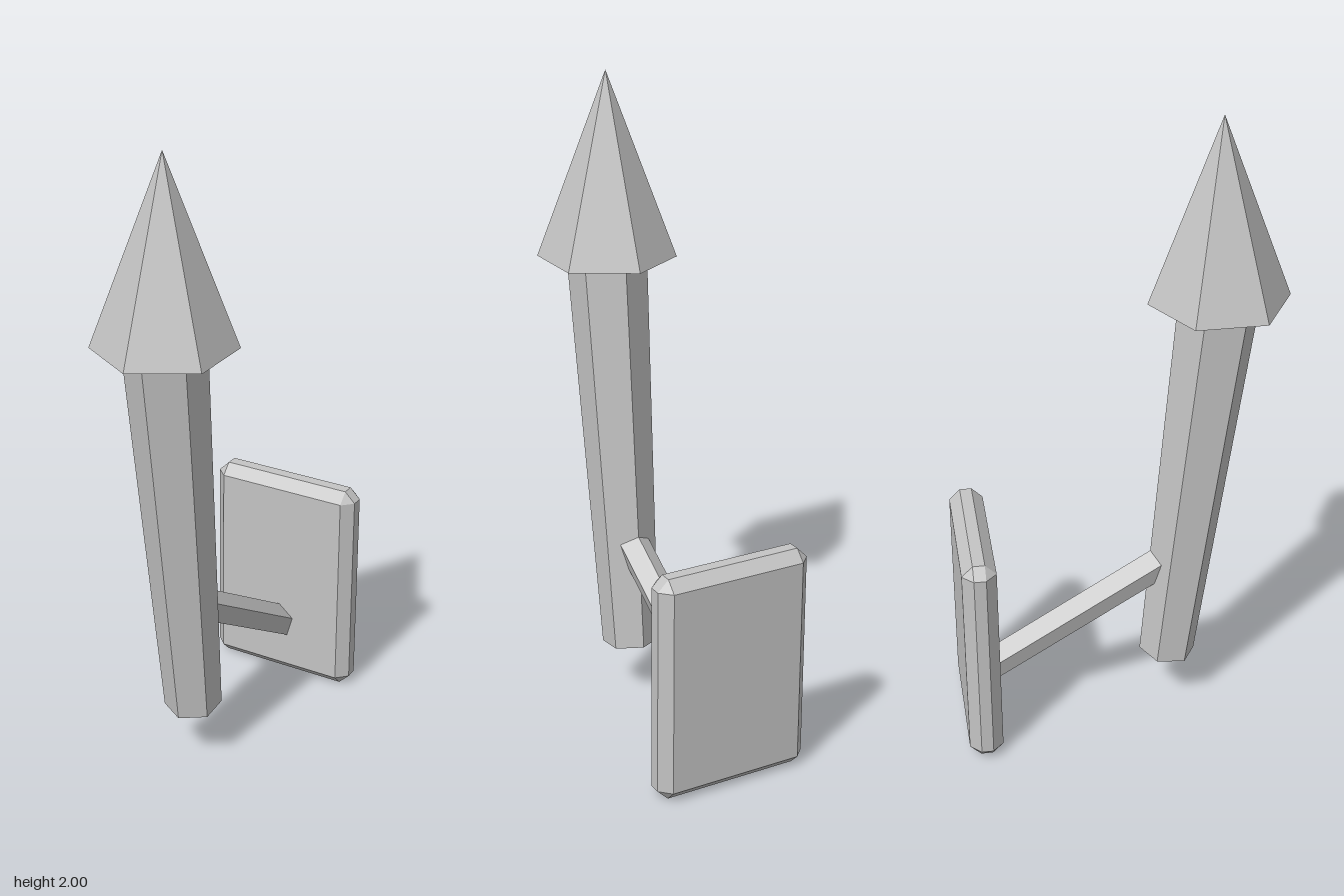
import * as THREE from 'three';
import { ConvexGeometry } from 'three/addons/geometries/ConvexGeometry.js';

const grey = new THREE.MeshStandardMaterial({ name: 'lightGrey', color: 0xc4c4c4, flatShading: true });

// Tapered prism in the x = 0 plane, from [y, z] to [y, z]
function prism(name, from, to, rFrom, rTo, sides, start = 0) {
  const dy = to[0] - from[0], dz = to[1] - from[1];
  const geometry = new THREE.CylinderGeometry(rTo, rFrom, Math.hypot(dy, dz), sides, 1, false, start);
  const mesh = new THREE.Mesh(geometry, grey);
  mesh.name = name;
  mesh.position.set(0, (from[0] + to[0]) / 2, (from[1] + to[1]) / 2);
  mesh.rotation.x = Math.atan2(dz, dy);
  return mesh;
}

// Box with every edge and corner cut off by the bevel b
function chamferedBox(w, h, d, b) {
  const points = [];
  for (const x of [-w / 2, w / 2])
    for (const y of [-h / 2, h / 2])
      for (const z of [-d / 2, d / 2]) {
        const ix = x - Math.sign(x) * b, iy = y - Math.sign(y) * b, iz = z - Math.sign(z) * b;
        points.push(
          new THREE.Vector3(x, iy, iz),
          new THREE.Vector3(ix, y, iz),
          new THREE.Vector3(ix, iy, z)
        );
      }
  return new ConvexGeometry(points);
}

export function createModel() {
  const model = new THREE.Group();
  model.name = 'wallTorch';

  // Pointed hexagonal head
  const head = new THREE.Mesh(new THREE.ConeGeometry(0.213, 0.57, 6), grey);
  head.name = 'head';
  head.position.set(0, 1.43 + 0.57 / 2, 0.294);
  model.add(head);

  // Leaning handle, wider at the top
  model.add(prism('handle', [0.182, 0.153], [1.43, 0.295], 0.089, 0.123, 6));

  // Five-sided arm rising from the wall plate, with a ridge on top
  model.add(prism('arm', [0.167, -0.45], [0.543, 0.16], 0.0526, 0.0526, 5, Math.PI));

  // Bevelled wall plate
  const plate = new THREE.Mesh(chamferedBox(0.498, 0.715, 0.105, 0.034), grey);
  plate.name = 'wallPlate';
  plate.position.set(0, 0.3575, -0.457);
  model.add(plate);

  return model;
}
